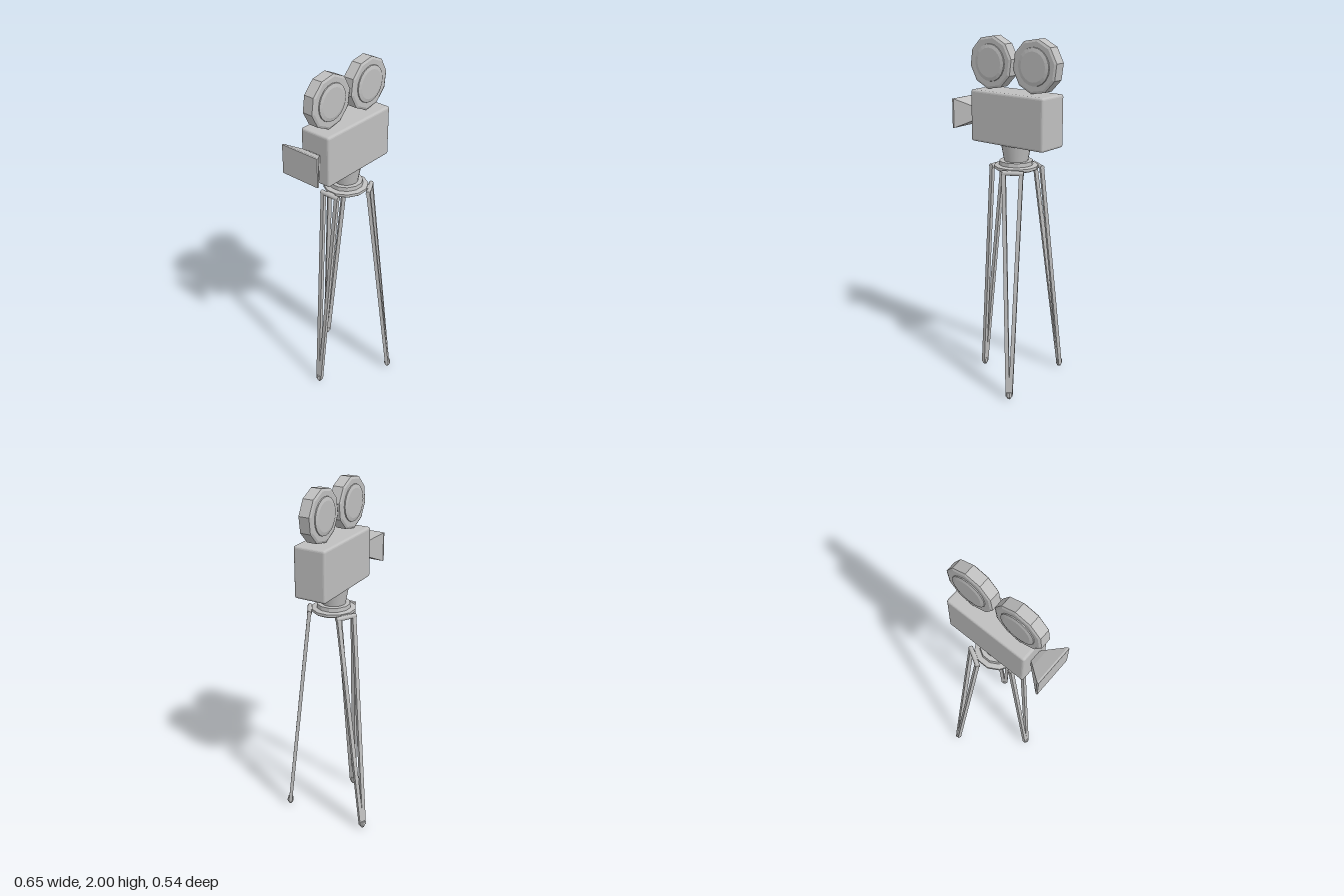
import * as THREE from 'three';
import { RoundedBoxGeometry } from 'three/addons/geometries/RoundedBoxGeometry.js';

const grey = new THREE.MeshStandardMaterial({ color: 0xbfbfbf });
grey.name = 'plain grey';

const CX = 0.035, CZ = 0.014; // tripod axis

// Faceted copy of a geometry
function faceted(geometry) {
  const g = geometry.index ? geometry.toNonIndexed() : geometry;
  g.computeVertexNormals();
  return g;
}

function part(name, geometry, x = 0, y = 0, z = 0) {
  const mesh = new THREE.Mesh(geometry, grey);
  mesh.name = name;
  mesh.position.set(x, y, z);
  return mesh;
}

// Lathe profile given as [radius, height] pairs, bottom to top
function turned(points, sides, start = 0) {
  return faceted(new THREE.LatheGeometry(points.map(([r, h]) => new THREE.Vector2(r, h)), sides, start));
}

// Rectangular bar from a to b, its width lying along the given side direction
function bar(name, a, b, side, width, depth) {
  const up = b.clone().sub(a);
  const length = up.length();
  up.normalize();
  const out = new THREE.Vector3().crossVectors(side, up).normalize();
  const right = new THREE.Vector3().crossVectors(up, out);
  const mesh = part(name, new THREE.BoxGeometry(width, length, depth));
  mesh.quaternion.setFromRotationMatrix(new THREE.Matrix4().makeBasis(right, up, out));
  mesh.position.copy(a).add(b).multiplyScalar(0.5);
  return mesh;
}

// Flared square hood: a box whose columns are moved to [x, half height, half depth]
function hoodGeometry() {
  const sections = [[-0.325, 0.082, 0.119], [-0.315, 0.082, 0.119], [-0.24, 0.045, 0.058], [-0.2, 0.02, 0.026]];
  const g = new THREE.BoxGeometry(3, 2, 2, 3, 1, 1);
  const p = g.attributes.position;
  for (let i = 0; i < p.count; i++) {
    const [x, h, d] = sections[Math.round(p.getX(i) + 1.5)];
    p.setXYZ(i, x, p.getY(i) * h, p.getZ(i) * d);
  }
  return faceted(g);
}

// Film reel: ten-sided rim with a raised bevelled hub on both faces
function reel(name, x) {
  const group = new THREE.Group();
  group.name = name;
  const rim = turned([[0, -0.036], [0.132, -0.036], [0.145, -0.03], [0.145, 0.03], [0.132, 0.036], [0, 0.036]],
    10, THREE.MathUtils.degToRad(28));
  const hub = turned([[0, -0.046], [0.08, -0.046], [0.1, -0.041], [0.103, -0.03], [0.103, 0.03],
    [0.1, 0.041], [0.08, 0.046], [0, 0.046]], 20);
  group.add(part('reelRim', rim.rotateX(Math.PI / 2)), part('reelHub', hub.rotateX(Math.PI / 2)));
  group.position.set(x, 1.857, 0.015);
  return group;
}

// Tripod leg: crossbar under the plate and two struts meeting at a pointed foot
function leg(name, angle, footX, footZ) {
  const group = new THREE.Group();
  group.name = name;
  const out = new THREE.Vector3(Math.cos(angle), 0, Math.sin(angle));
  const side = new THREE.Vector3(-out.z, 0, out.x);
  const at = (s, y) => new THREE.Vector3(CX, y, CZ).addScaledVector(out, 0.132).addScaledVector(side, s);

  const crossbar = part('crossbar', new THREE.CylinderGeometry(0.013, 0.013, 0.122, 8));
  crossbar.quaternion.setFromUnitVectors(new THREE.Vector3(0, 1, 0), side);
  crossbar.position.copy(at(0, 1.292));
  group.add(crossbar);

  for (const s of [-1, 1]) {
    const foot = new THREE.Vector3(footX, 0.02, footZ).addScaledVector(side, s * 0.008);
    group.add(bar('strut', foot, at(s * 0.048, 1.298), side, 0.022, 0.02));
  }
  group.add(part('foot', turned([[0, 0], [0.01, 0.003], [0.019, 0.022], [0.017, 0.045], [0, 0.045]], 8), footX, 0, footZ));

  // Short tab joining the crossbar to the plate
  const inner = at(0, 1.296).addScaledVector(out, -0.04);
  group.add(bar('hingeTab', inner, at(0, 1.296), side, 0.05, 0.014));
  return group;
}

export function createModel() {
  const model = new THREE.Group();
  model.name = 'filmCamera';

  // Camera body and lens hood
  model.add(part('cameraBody', faceted(new RoundedBoxGeometry(0.495, 0.286, 0.188, 2, 0.013)), 0.0365, 1.568, 0.014));
  model.add(part('lensHood', hoodGeometry(), 0, 1.569, 0.014));

  // Film reels
  model.add(reel('rightReel', -0.118), reel('leftReel', 0.18));

  // Tapered neck and stepped mounting plate
  model.add(part('neck', new THREE.CylinderGeometry(0.085, 0.066, 0.105, 20), CX, 1.383, CZ));
  model.add(part('mountingPlate', turned([[0, 1.287], [0.115, 1.287], [0.123, 1.293], [0.123, 1.308],
    [0.095, 1.313], [0.093, 1.335], [0, 1.335]], 12, Math.PI / 12), CX, 0, CZ));

  // Three legs
  model.add(leg('rightLeg', Math.PI, -0.208, 0.015));
  model.add(leg('backLeg', -Math.PI / 3, 0.163, -0.251));
  model.add(leg('frontLeg', Math.PI / 3, 0.172, 0.247));

  return model;
}
